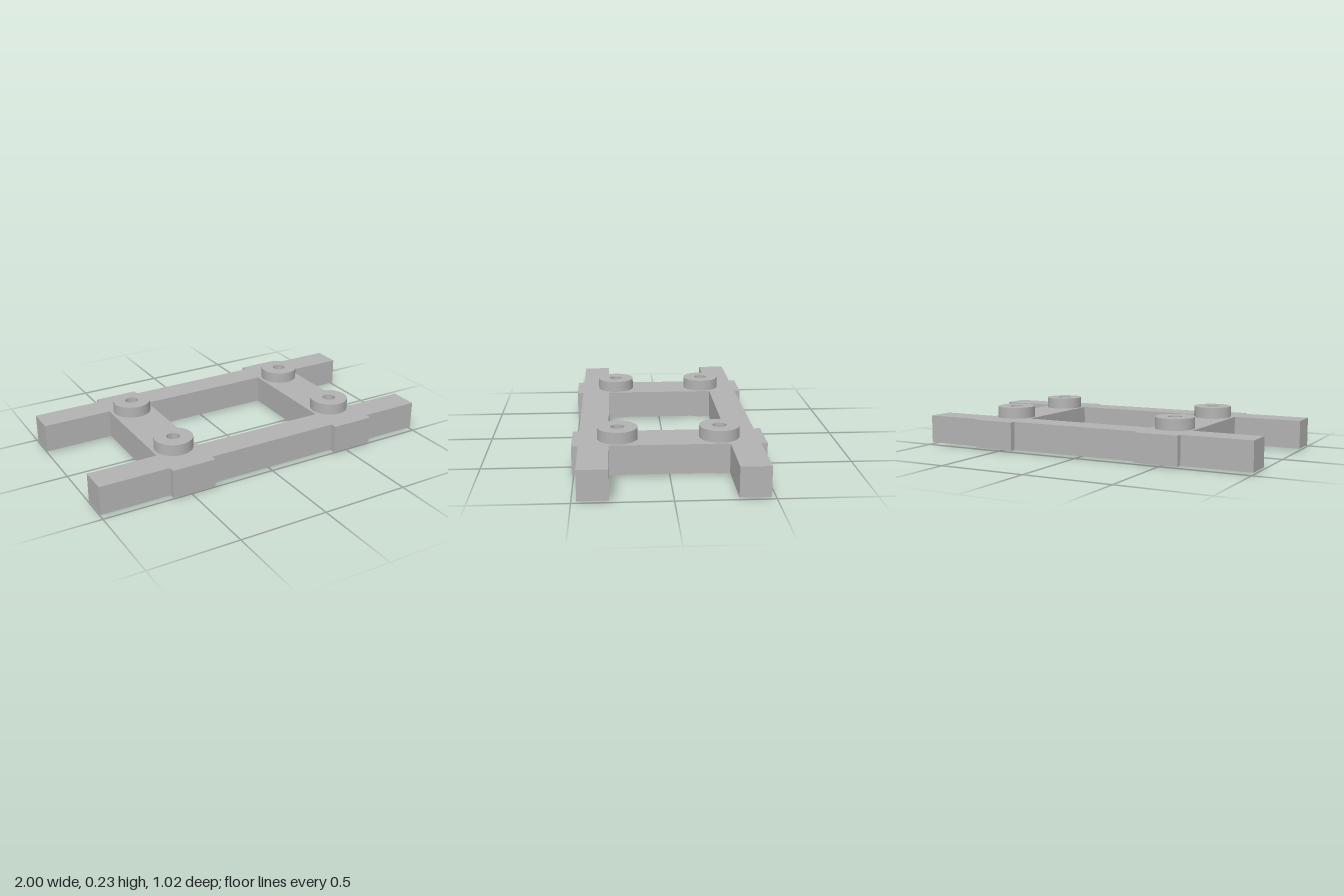
import * as THREE from 'three';
import { toCreasedNormals } from 'three/addons/utils/BufferGeometryUtils.js';

export function createModel() {
  const model = new THREE.Group();
  model.name = 'ladderFrame';
  const grey = new THREE.MeshStandardMaterial({ color: 0xb2b2b2 });
  grey.name = 'grey';

  const bottom = 0.01, top = 0.17;
  const railIn = 0.315, railOut = 0.473, barEnd = 0.508;
  const barHalf = 0.123;
  const barX = [-0.486, 0.533];

  // Frame: two long rails joined by two cross bars whose ends stand proud
  const front = [[-1, railIn], [-1, railOut]];
  for (const x of barX) {
    front.push([x - barHalf, railOut], [x - barHalf, barEnd], [x + barHalf, barEnd], [x + barHalf, railOut]);
  }
  front.push([1, railOut], [1, railIn], [barX[1] + barHalf, railIn]);
  const back = front.map(([x, z]) => [x, -z]).reverse();
  const start = [barX[0] - barHalf, railIn];
  const outline = [start, ...front, ...back, [start[0], -railIn]];
  const toPoints = (list) => list.map(([x, z]) => new THREE.Vector2(x, z));
  const shape = new THREE.Shape(toPoints(outline));

  // Opening between the rails and cross bars
  const x0 = barX[0] + barHalf, x1 = barX[1] - barHalf;
  shape.holes.push(new THREE.Path(toPoints([[x0, -railIn], [x1, -railIn], [x1, railIn], [x0, railIn]])));

  const frameGeometry = new THREE.ExtrudeGeometry(shape, { depth: top - bottom, bevelEnabled: false });
  frameGeometry.rotateX(-Math.PI / 2).translate(0, bottom, 0);
  const frame = new THREE.Mesh(frameGeometry, grey);
  frame.name = 'frame';
  model.add(frame);

  // Round bosses with a blind hole in the top, closed at the bottom
  const radius = 0.107, hole = 0.037, bossTop = 0.233;
  const profile = [[0, 0], [radius, 0], [radius, bossTop], [hole, bossTop], [hole, top + 0.001], [0, top + 0.001]];
  const bossGeometry = toCreasedNormals(new THREE.LatheGeometry(toPoints(profile), 48), 0.6);
  for (const x of barX) {
    for (const side of [-1, 1]) {
      const boss = new THREE.Mesh(bossGeometry, grey);
      boss.name = (side > 0 ? 'front' : 'back') + (x > 0 ? 'Left' : 'Right') + 'Boss';
      boss.position.set(x, 0, side * 0.269);
      model.add(boss);
    }
  }
  return model;
}
